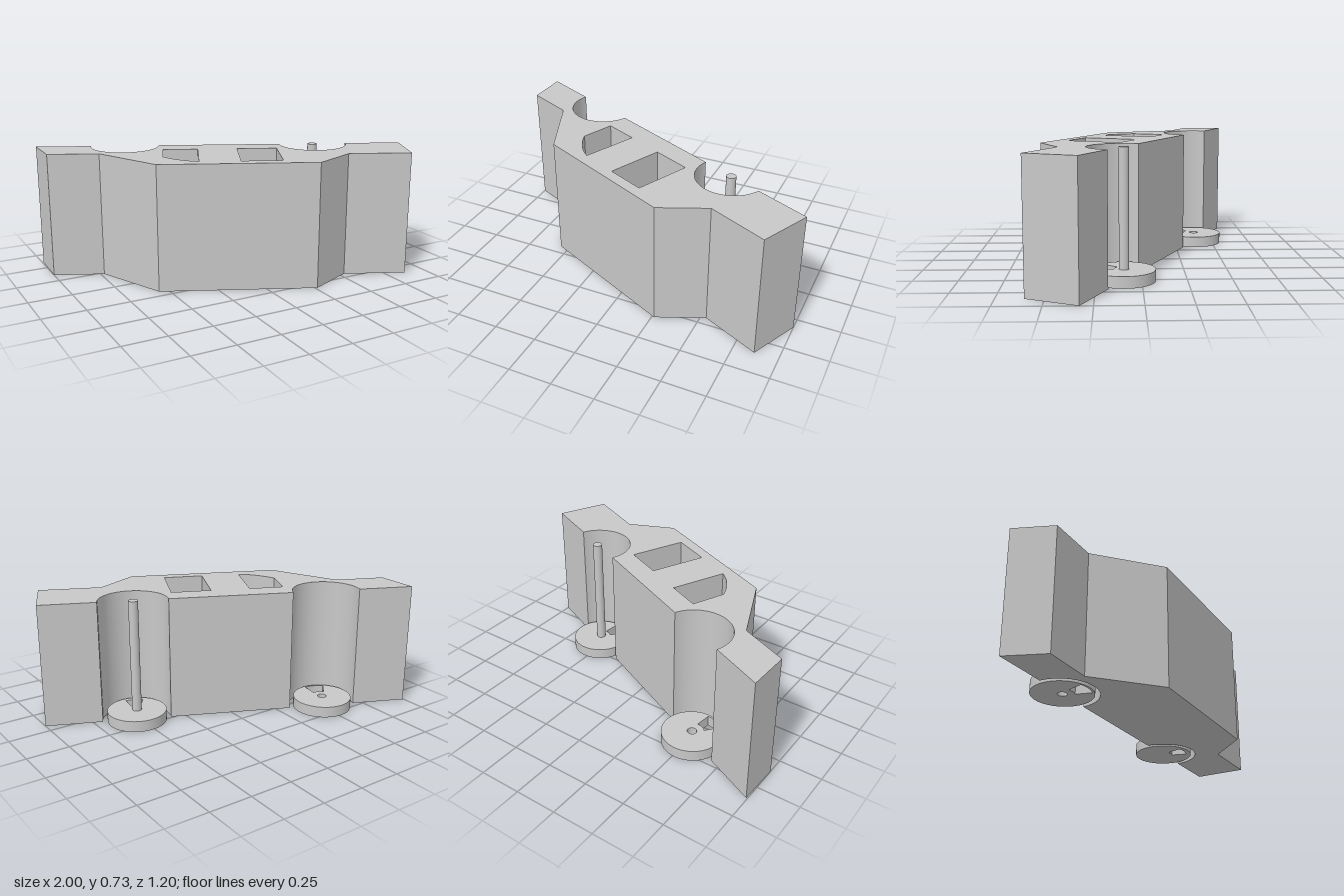
import * as THREE from 'three';
import { toCreasedNormals } from 'three/addons/utils/BufferGeometryUtils.js';

const HEIGHT = 0.733;
const FLOOR = 0.065; // thickness of pocket floors and discs
const TILT = THREE.MathUtils.degToRad(-24.8); // slant of the block seen from above
const DISCS = [[-0.513, -0.38], [0.515, 0.097]]; // x, z of the disc centres

export function createModel() {
  const group = new THREE.Group();
  const grey = new THREE.MeshStandardMaterial({ color: 0xc8c8c8 });
  grey.name = 'plain grey';

  // Plans are drawn as (x, -z) and raised upward from y = 0.
  const add = (name, shape, height, x = 0, z = 0) => {
    let geo = new THREE.ExtrudeGeometry(shape, { depth: height, bevelEnabled: false, curveSegments: 48 });
    geo.rotateX(-Math.PI / 2);
    geo = toCreasedNormals(geo, 0.5);
    const mesh = new THREE.Mesh(geo, grey);
    mesh.name = name;
    mesh.position.set(x, 0, z);
    group.add(mesh);
  };
  const trace = (points) => new THREE.Shape(points.map(([x, z]) => new THREE.Vector2(x, -z)));

  // Block outline with two half-round bays in its back
  const block = new THREE.Shape();
  for (const [x, z] of DISCS) block.absarc(x, -z, 0.202, TILT + Math.PI, TILT + 2 * Math.PI, false);
  [[1, 0.32], [0.867, 0.602], [0.533, 0.447], [0.263, 0.563], [-0.555, 0.187], [-0.73, -0.229], [-1, -0.352], [-0.993, -0.602]]
    .forEach(([x, z]) => block.lineTo(x, -z));
  block.closePath();

  // Two pockets open at the top, wound against the block outline
  const squarePocket = trace([[-0.104, 0.323], [0.11, 0.42], [0.25, 0.116], [0.036, 0.019]]);
  const roundedPocket = trace([[-0.314, 0.223], [-0.174, -0.079], [-0.36, -0.163], [-0.44, 0.021]]);
  roundedPocket.quadraticCurveTo(-0.405, -0.151, -0.314, -0.223);
  block.holes.push(squarePocket, roundedPocket);
  add('block', block, HEIGHT);
  add('squarePocketFloor', squarePocket, FLOOR);
  add('roundedPocketFloor', roundedPocket, FLOOR);

  // Discs with a fan-shaped window; the first also has a pin hole
  const deg = THREE.MathUtils.degToRad;
  DISCS.forEach(([x, z], i) => {
    const disc = new THREE.Shape().absarc(0, 0, 0.174, 0, Math.PI * 2, false);
    const [inner, outer] = i === 0 ? [0.068, 0.162] : [0.055, 0.146];
    const fan = new THREE.Path();
    fan.absarc(0, 0, inner, deg(-141), deg(-85), false);
    fan.absarc(0, 0, outer, deg(-92), deg(-134), true);
    fan.closePath();
    disc.holes.push(fan);
    if (i === 0) disc.holes.push(new THREE.Path().absarc(0, 0, 0.027, 0, Math.PI * 2, true));
    add(i === 0 ? 'rightDisc' : 'leftDisc', disc, FLOOR, x, z);
  });

  // Upright pin on the left disc
  const pin = new THREE.Mesh(new THREE.CylinderGeometry(0.028, 0.028, HEIGHT - FLOOR, 32), grey);
  pin.name = 'pin';
  pin.position.set(DISCS[1][0], (HEIGHT + FLOOR) / 2, DISCS[1][1]);
  group.add(pin);

  return group;
}
